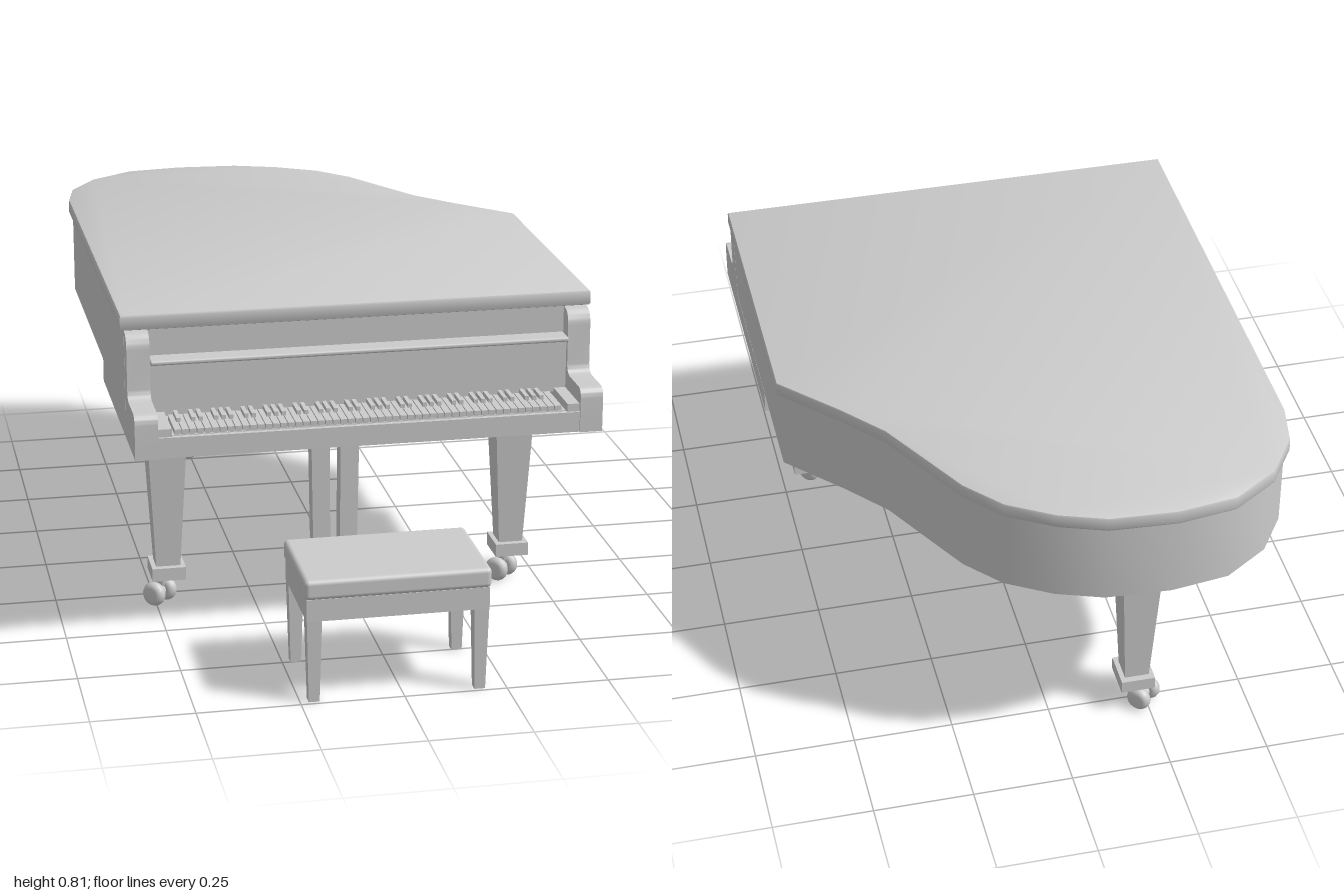
import * as THREE from 'three';
import { toCreasedNormals } from 'three/addons/utils/BufferGeometryUtils.js';
import { RoundedBoxGeometry } from 'three/addons/geometries/RoundedBoxGeometry.js';

const material = new THREE.MeshStandardMaterial({ color: 0xcccccc });

function add(parent, name, geometry, x = 0, y = 0, z = 0) {
  const mesh = new THREE.Mesh(geometry, material);
  mesh.name = name;
  mesh.position.set(x, y, z);
  parent.add(mesh);
  return mesh;
}

// Box given by its limits on each axis
function block(parent, name, x0, x1, y0, y1, z0, z1) {
  return add(parent, name, new THREE.BoxGeometry(x1 - x0, y1 - y0, z1 - z0),
    (x0 + x1) / 2, (y0 + y1) / 2, (z0 + z1) / 2);
}

// Horizontal slab from [x, z] points, between two heights
function slab(parent, name, points, y0, y1, bevel = 0) {
  const shape = new THREE.Shape(points.map(([x, z]) => new THREE.Vector2(x, -z)));
  const geometry = new THREE.ExtrudeGeometry(shape, {
    depth: y1 - y0 - 2 * bevel, bevelEnabled: bevel > 0, bevelSize: bevel,
    bevelThickness: bevel, bevelOffset: -bevel, bevelSegments: 2,
  });
  geometry.rotateX(-Math.PI / 2);
  return add(parent, name, toCreasedNormals(geometry, 0.6), 0, y0 + bevel, 0);
}

// Extrusion centred on its depth
function centredExtrude(shape, depth) {
  const geometry = new THREE.ExtrudeGeometry(shape, { depth, bevelEnabled: false, curveSegments: 8 });
  geometry.translate(0, 0, -depth / 2);
  return toCreasedNormals(geometry, 0.6);
}

// Square tapered post
function taper(top, bottom, height) {
  const geometry = new THREE.CylinderGeometry(top * Math.SQRT1_2, bottom * Math.SQRT1_2, height, 4).toNonIndexed();
  geometry.rotateY(Math.PI / 4);
  geometry.computeVertexNormals();
  return geometry;
}

// Leg with flared bracket, foot block and twin-wheel caster
function buildLeg(name, x, z, turn, casterZ) {
  const leg = new THREE.Group();
  leg.name = name;
  leg.position.set(x, 0, z);

  const s = new THREE.Shape();
  s.moveTo(-0.058, 0.403);
  s.lineTo(0.058, 0.403);
  s.bezierCurveTo(0.06, 0.45, 0.08, 0.475, 0.115, 0.478);
  s.lineTo(0.187, 0.478);
  s.lineTo(0.187, 0.5);
  s.lineTo(-0.187, 0.5);
  s.lineTo(-0.187, 0.478);
  s.lineTo(-0.115, 0.478);
  s.bezierCurveTo(-0.08, 0.475, -0.06, 0.45, -0.058, 0.403);
  add(leg, 'legBracket', centredExtrude(s, 0.117)).rotation.y = turn;
  add(leg, 'legPost', taper(0.095, 0.062, 0.305), 0, 0.2525, 0);
  block(leg, 'legFoot', -0.043, 0.043, 0.066, 0.1, -0.048, 0.048);

  const caster = new THREE.Group();
  caster.name = 'caster';
  caster.position.set(-0.022, 0.031, casterZ);
  caster.rotation.y = Math.PI / 4;
  leg.add(caster);
  const profile = [[0, -0.016], [0.018, -0.016], [0.027, -0.012], [0.031, -0.004],
    [0.031, 0.004], [0.027, 0.012], [0.018, 0.016], [0, 0.016]];
  const wheel = new THREE.LatheGeometry(profile.map(([r, h]) => new THREE.Vector2(r, h)), 20);
  wheel.rotateZ(Math.PI / 2);
  for (const side of [-1, 1]) add(caster, 'casterWheel', wheel, side * 0.024, 0, 0);
  const axle = new THREE.CylinderGeometry(0.014, 0.014, 0.05, 12);
  axle.rotateZ(Math.PI / 2);
  add(caster, 'casterAxle', axle);
  add(leg, 'casterStem', new THREE.CylinderGeometry(0.013, 0.013, 0.045, 12), -0.012, 0.05, casterZ / 2);
  return leg;
}

function buildKeyboard() {
  const keyboard = new THREE.Group();
  keyboard.name = 'keyboard';
  const count = 52, left = -0.485, pitch = 0.965 / count;
  const white = new THREE.BoxGeometry(pitch * 0.88, 0.014, 0.115);
  const black = new THREE.BoxGeometry(pitch * 0.55, 0.014, 0.06);
  for (let i = 0; i < count; i++) {
    const x = left + (i + 0.5) * pitch;
    add(keyboard, 'whiteKey', white, x, 0.557, 0.5425);
    // The first white key is an A: no black key follows B or E
    if (i < count - 1 && ![1, 4].includes(i % 7)) {
      add(keyboard, 'blackKey', black, x + pitch / 2, 0.568, 0.515);
    }
  }
  block(keyboard, 'keyBase', -0.495, 0.49, 0.535, 0.551, 0.47, 0.602);
  return keyboard;
}

function buildPedals() {
  const lyre = new THREE.Group();
  lyre.name = 'pedalLyre';
  lyre.position.x = -0.037;
  block(lyre, 'lyrePlate', -0.12, 0.12, 0.476, 0.5, 0.24, 0.385);
  block(lyre, 'lyreBlock', -0.072, 0.072, 0.408, 0.476, 0.265, 0.36);
  for (const side of [-1, 1]) {
    const post = add(lyre, 'lyrePost', taper(0.048, 0.044, 0.345), side * 0.036, 0.24, 0.312);
    post.rotation.z = side * -0.01;
  }
  // Pedal box with a stepped foot
  const s = new THREE.Shape();
  s.moveTo(-0.094, 0.012);
  s.lineTo(0.094, 0.012);
  s.lineTo(0.094, 0.034);
  s.quadraticCurveTo(0.077, 0.038, 0.077, 0.068);
  s.lineTo(-0.077, 0.068);
  s.quadraticCurveTo(-0.077, 0.038, -0.094, 0.034);
  add(lyre, 'pedalBox', centredExtrude(s, 0.11), 0, 0, 0.312);
  for (const i of [-1, 0, 1]) {
    add(lyre, 'pedal', new RoundedBoxGeometry(0.026, 0.01, 0.09, 2, 0.004), i * 0.047, 0.035, 0.387);
  }
  return lyre;
}

function buildBench() {
  const bench = new THREE.Group();
  bench.name = 'bench';
  bench.position.set(-0.016, 0, 0.858);
  add(bench, 'benchCushion', new RoundedBoxGeometry(0.45, 0.05, 0.284, 3, 0.012), 0, 0.285, 0);
  block(bench, 'benchApron', -0.22, 0.22, 0.207, 0.262, -0.138, 0.138);
  for (const x of [-1, 1]) for (const z of [-1, 1]) {
    add(bench, 'benchLeg', taper(0.037, 0.026, 0.215), x * 0.201, 0.1075, z * 0.119);
  }
  return bench;
}

export function createModel() {
  const piano = new THREE.Group();
  piano.name = 'grandPiano';

  // Lid outline, reused slightly smaller for the case
  const outline = [[-0.593, 0.453], [0.588, 0.453], [0.588, -0.31], [0.455, -0.45], [0.365, -0.555],
    [0.295, -0.68], [0.23, -0.795], [0.15, -0.885], [0.04, -0.95], [-0.075, -0.99], [-0.24, -1],
    [-0.386, -0.98], [-0.5, -0.905], [-0.57, -0.8], [-0.593, -0.68]];
  slab(piano, 'lid', outline, 0.773, 0.812, 0.006);
  slab(piano, 'case', outline.map(([x, z]) => [x * 0.984, z * 0.985]), 0.558, 0.775);

  // Key bed and rear leg support below the case
  block(piano, 'keyBed', -0.583, 0.579, 0.498, 0.56, -0.012, 0.44);
  block(piano, 'keyBedFront', -0.53, 0.527, 0.498, 0.545, 0.44, 0.615);
  const support = [[-0.54, -0.64], [0.13, -0.64]];
  for (let i = 0; i <= 14; i++) {
    const a = (i / 14) * Math.PI;
    support.push([-0.205 + 0.335 * Math.cos(a), -0.685 - 0.23 * Math.sin(a)]);
  }
  slab(piano, 'rearLegSupport', support, 0.5, 0.56);

  // Curved arms at both ends of the keyboard
  const arm = new THREE.Shape();
  arm.moveTo(0.43, 0.498);
  arm.lineTo(0.62, 0.498);
  arm.lineTo(0.62, 0.585);
  arm.quadraticCurveTo(0.62, 0.61, 0.595, 0.61);
  arm.lineTo(0.515, 0.61);
  arm.quadraticCurveTo(0.49, 0.612, 0.49, 0.64);
  arm.lineTo(0.49, 0.735);
  arm.quadraticCurveTo(0.488, 0.773, 0.45, 0.773);
  arm.lineTo(0.43, 0.773);
  const armGeometry = centredExtrude(arm, 0.057);
  armGeometry.rotateY(-Math.PI / 2);
  for (const side of [-1, 1]) {
    add(piano, 'arm', armGeometry, -0.002 + side * 0.5525, 0, 0);
    const inner = side * 0.492, outer = side * 0.526;
    block(piano, 'keyCheek', Math.min(inner, outer), Math.max(inner, outer), 0.54, 0.57, 0.45, 0.61);
  }

  // Fallboard with its ledge, and the slip in front of the keys
  block(piano, 'fallboard', -0.526, 0.523, 0.56, 0.695, 0.44, 0.478);
  add(piano, 'fallboardLedge', new RoundedBoxGeometry(1.049, 0.012, 0.06, 2, 0.005), -0.0015, 0.7, 0.468);
  block(piano, 'keySlip', -0.526, 0.523, 0.5, 0.55, 0.603, 0.616);
  piano.add(buildKeyboard());

  piano.add(buildLeg('frontRightLeg', -0.467, 0.287, Math.PI / 2, 0.025));
  piano.add(buildLeg('frontLeftLeg', 0.432, 0.287, Math.PI / 2, 0.025));
  piano.add(buildLeg('rearLeg', -0.22, -0.752, 0, -0.022));
  piano.add(buildPedals(), buildBench());
  return piano;
}
